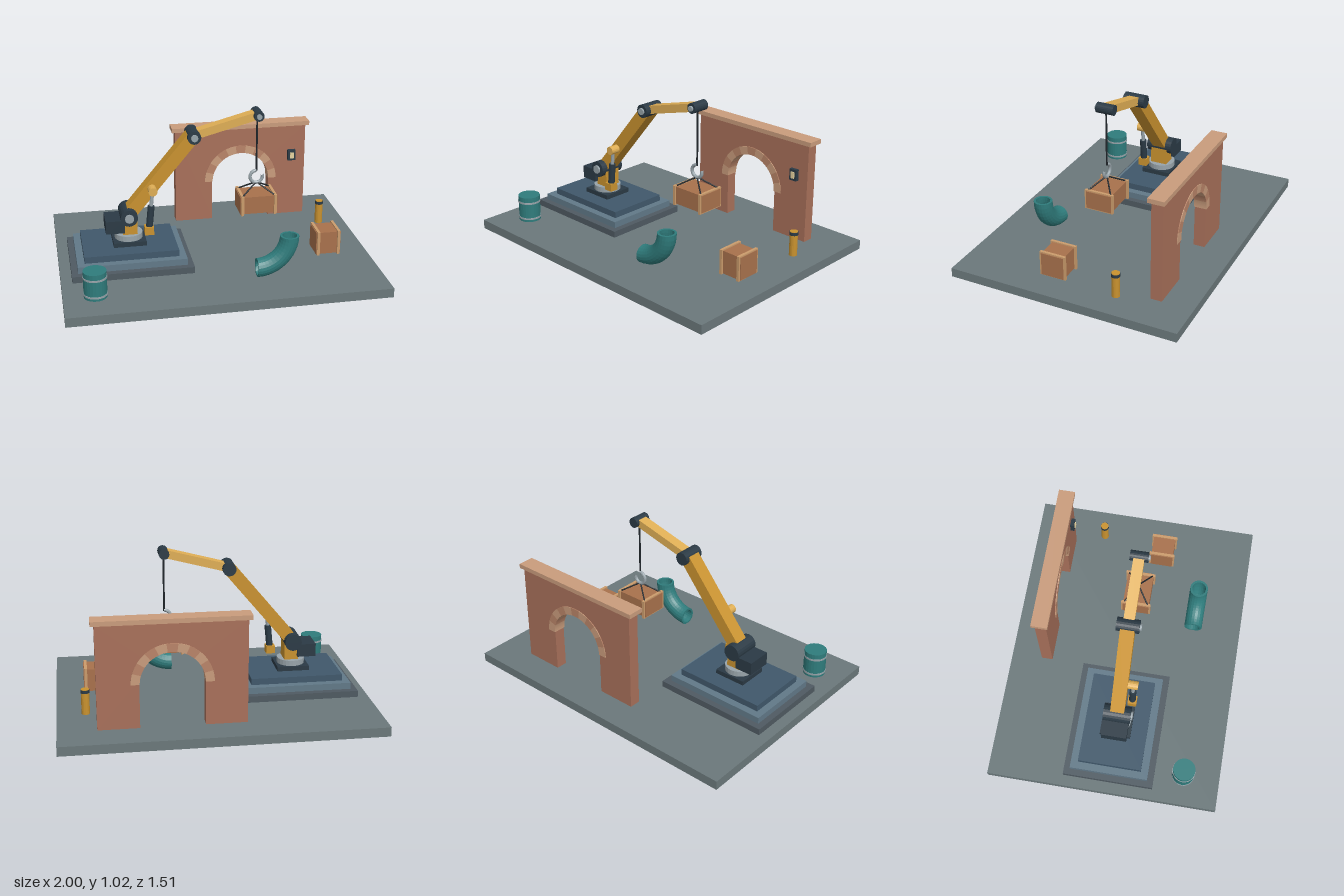
import * as THREE from 'three';

const COLORS = {
  ground: 0x6b787b, stepLow: 0x4f5a62, stepMid: 0x617988, stepTop: 0x40586b,
  dark: 0x2b3a45, steel: 0x98a4aa, yellow: 0xc9922f, amber: 0xdfae55,
  brick: 0xa8705a, stone: 0xc99c7c, paleStone: 0xb98468, teal: 0x2f7c7c,
  wood: 0xa8714c, batten: 0xcb9c6c, cable: 0x20262b, lamp: 0xe6d3a0,
};
const materials = {};
const mat = (key) => (materials[key] ??= new THREE.MeshStandardMaterial({ color: COLORS[key], flatShading: true }));
const V = (x, y, z) => new THREE.Vector3(x, y, z);
const ARM_Z = 0.037;

function add(parent, name, geometry, color, x = 0, y = 0, z = 0) {
  const mesh = new THREE.Mesh(geometry, mat(color));
  mesh.name = name;
  mesh.position.set(x, y, z);
  parent.add(mesh);
  return mesh;
}

// Box given by its min and max on each axis
function block(parent, name, color, [x0, x1], [y0, y1], [z0, z1]) {
  return add(parent, name, new THREE.BoxGeometry(x1 - x0, y1 - y0, z1 - z0), color,
    (x0 + x1) / 2, (y0 + y1) / 2, (z0 + z1) / 2);
}

// Round rod between two points
function rod(parent, name, color, a, b, radius, sides = 16) {
  const mesh = add(parent, name, new THREE.CylinderGeometry(radius, radius, a.distanceTo(b), sides), color);
  mesh.position.lerpVectors(a, b, 0.5);
  mesh.quaternion.setFromUnitVectors(V(0, 1, 0), b.clone().sub(a).normalize());
  return mesh;
}

// Square beam in the arm's plane
function beam(parent, name, color, a, b, height, depth) {
  const mesh = add(parent, name, new THREE.BoxGeometry(a.distanceTo(b), height, depth), color);
  mesh.position.lerpVectors(a, b, 0.5);
  mesh.rotation.z = Math.atan2(b.y - a.y, b.x - a.x);
  return mesh;
}

// Pivot drum across the arm, with a steel pin end at the front
function joint(parent, name, p, radius, halfWidth) {
  rod(parent, name, 'dark', V(p.x, p.y, p.z - halfWidth), V(p.x, p.y, p.z + halfWidth), radius, 20);
  rod(parent, name + 'Pin', 'steel', V(p.x, p.y, p.z), V(p.x, p.y, p.z + halfWidth + 0.012), radius * 0.52, 16);
}

// Wooden crate with a wrapping batten frame near each end
function crate(parent, name, cx, y0, cz, w, h, d) {
  const g = new THREE.Group();
  g.name = name;
  g.position.set(cx, y0 + h / 2, cz);
  add(g, 'crateBody', new THREE.BoxGeometry(w, h - 0.01, d - 0.01), 'wood');
  for (const s of [-1, 1]) {
    const x = s * (w / 2 - 0.014);
    for (const t of [-1, 1]) {
      add(g, 'uprightBatten', new THREE.BoxGeometry(0.018, h + 0.006, 0.014), 'batten', x, 0, t * d / 2);
      add(g, 'crossBatten', new THREE.BoxGeometry(0.018, 0.012, d), 'batten', x, t * (h / 2 - 0.003), 0);
    }
  }
  parent.add(g);
}

function buildWall(parent) {
  const g = new THREE.Group();
  g.name = 'archWall';
  const cx = 0.3, spring = 0.34, r = 0.2, R = 0.252;
  const face = new THREE.Shape();
  face.moveTo(-0.157, 0.06);
  face.lineTo(cx - r, 0.06);
  face.lineTo(cx - r, spring);
  face.absarc(cx, spring, r, Math.PI, 0, true);
  face.lineTo(cx + r, 0.06);
  face.lineTo(0.757, 0.06);
  face.lineTo(0.757, 0.72);
  face.lineTo(-0.157, 0.72);
  add(g, 'brickWall', new THREE.ExtrudeGeometry(face, { depth: 0.074, bevelEnabled: false, curveSegments: 22 }),
    'brick', 0, 0, -0.555);
  block(g, 'wallCap', 'stone', [-0.18, 0.78], [0.718, 0.747], [-0.571, -0.465]);

  // Wedge stones around the arch
  const count = 11;
  for (let i = 0; i < count; i++) {
    const a = (i / count) * Math.PI, b = ((i + 1) / count) * Math.PI;
    const wedge = new THREE.Shape();
    wedge.absarc(0, 0, R, a, b, false);
    wedge.absarc(0, 0, r - 0.002, b, a, true);
    add(g, 'archStone', new THREE.ExtrudeGeometry(wedge, { depth: 0.084, bevelEnabled: false, curveSegments: 3 }),
      i % 2 ? 'paleStone' : 'stone', cx, spring, -0.56);
  }
  // Wall lamp
  block(g, 'lampHousing', 'dark', [0.633, 0.687], [0.467, 0.542], [-0.485, -0.456]);
  block(g, 'lampPanel', 'lamp', [0.647, 0.673], [0.483, 0.526], [-0.46, -0.449]);
  parent.add(g);
}

function buildArm(parent) {
  const g = new THREE.Group();
  g.name = 'craneArm';
  const shoulder = V(-0.545, 0.375, ARM_Z), elbow = V(-0.123, 0.88, ARM_Z), tip = V(0.291, 0.99, ARM_Z);

  block(g, 'footPlate', 'dark', [-0.65, -0.44], [0.185, 0.215], [-0.063, 0.137]);
  add(g, 'turntable', new THREE.CylinderGeometry(0.09, 0.09, 0.036, 24), 'steel', -0.545, 0.233, ARM_Z);
  block(g, 'pedestal', 'yellow', [-0.585, -0.492], [0.25, 0.375], [-0.02, 0.094]);
  block(g, 'motorBox', 'dark', [-0.695, -0.575], [0.275, 0.36], [-0.045, 0.119]);

  beam(g, 'upperArm', 'yellow', shoulder, elbow, 0.082, 0.09);
  beam(g, 'forearm', 'amber', elbow, tip, 0.052, 0.068);
  joint(g, 'shoulderJoint', shoulder, 0.055, 0.088);
  joint(g, 'elbowJoint', elbow, 0.043, 0.072);
  joint(g, 'tipJoint', tip, 0.033, 0.058);

  // Hydraulic ram beside the upper arm
  const z = 0.115, top = V(-0.394, 0.552, z), low = V(-0.42, 0.29, z);
  rod(g, 'ramPin', 'amber', V(top.x, top.y, 0.07), V(top.x, top.y, 0.146), 0.028);
  rod(g, 'ramRod', 'steel', low, top, 0.012, 12);
  rod(g, 'ramCylinder', 'dark', low, V(-0.404, 0.45, z), 0.022);
  block(g, 'ramBracket', 'yellow', [-0.45, -0.392], [0.26, 0.312], [0.086, 0.144]);

  // Cable, hook and slings
  rod(g, 'hoistCable', 'cable', tip, V(tip.x, 0.605, ARM_Z), 0.006, 8);
  const hook = add(g, 'hook', new THREE.TorusGeometry(0.041, 0.011, 10, 28, Math.PI * 1.6), 'steel', tip.x, 0.568, ARM_Z);
  hook.rotation.z = Math.PI / 2;
  for (const sx of [-1, 1]) for (const sz of [-1, 1])
    rod(g, 'sling', 'cable', V(tip.x, 0.53, ARM_Z), V(tip.x + sx * 0.105, 0.463, ARM_Z + sz * 0.078), 0.005, 8);
  crate(g, 'hangingCrate', 0.292, 0.34, ARM_Z, 0.243, 0.125, 0.18);
  parent.add(g);
}

// Quarter bend of open pipe: a wall cross-section swept about its centre of curvature
function buildPipe(parent) {
  const bend = 0.205, outer = 0.06, inner = 0.046, steps = 12, sides = 20;
  const g = new THREE.Group();
  g.name = 'pipeBend';
  g.position.set(0.212, 0.32, 0.433);
  class Arc extends THREE.Curve {
    getPoint(t, out = V(0, 0, 0)) {
      const a = -Math.PI / 2 * (1 - t);
      return out.set(bend * Math.cos(a), bend * Math.sin(a), 0);
    }
  }
  const skin = mat('teal').clone();
  skin.side = THREE.DoubleSide;
  for (const [name, r] of [['pipeOutside', outer], ['pipeBore', inner]])
    add(g, name, new THREE.TubeGeometry(new Arc(), steps, r, sides), 'teal').material = skin;
  const rim = new THREE.RingGeometry(inner, outer, sides);
  const upper = add(g, 'upperRim', rim, 'teal', bend, 0, 0);
  upper.rotation.x = -Math.PI / 2;
  const lower = add(g, 'lowerRim', rim, 'teal', 0, -bend, 0);
  lower.rotation.y = -Math.PI / 2;
  parent.add(g);
}

export function createModel() {
  const model = new THREE.Group();
  model.name = 'craneYard';

  block(model, 'groundSlab', 'ground', [-1, 1], [0, 0.06], [-0.757, 0.757]);

  // Stepped platform
  [['stepLow', 0.384, 0.296], ['stepMid', 0.345, 0.255], ['stepTop', 0.299, 0.207]].forEach(([key, hx, hz], i) => {
    const y = 0.06 + i * 0.042;
    block(model, 'platformStep', key, [-0.546 - hx, -0.546 + hx], [y, y + 0.042], [0.034 - hz, 0.034 + hz]);
  });

  buildWall(model);
  buildArm(model);
  buildPipe(model);
  crate(model, 'groundCrate', 0.738, 0.06, 0.145, 0.163, 0.16, 0.16);

  // Barrel with two hoops
  add(model, 'barrel', new THREE.CylinderGeometry(0.072, 0.072, 0.172, 24), 'teal', -0.802, 0.146, 0.516);
  for (const y of [0.082, 0.193])
    add(model, 'barrelHoop', new THREE.CylinderGeometry(0.075, 0.075, 0.012, 24), 'steel', -0.802, y, 0.516);

  // Bollard with a dark band
  add(model, 'bollard', new THREE.CylinderGeometry(0.026, 0.026, 0.163, 16), 'yellow', 0.819, 0.1415, -0.285);
  add(model, 'bollardBand', new THREE.CylinderGeometry(0.028, 0.028, 0.02, 16), 'dark', 0.819, 0.21, -0.285);
  return model;
}
